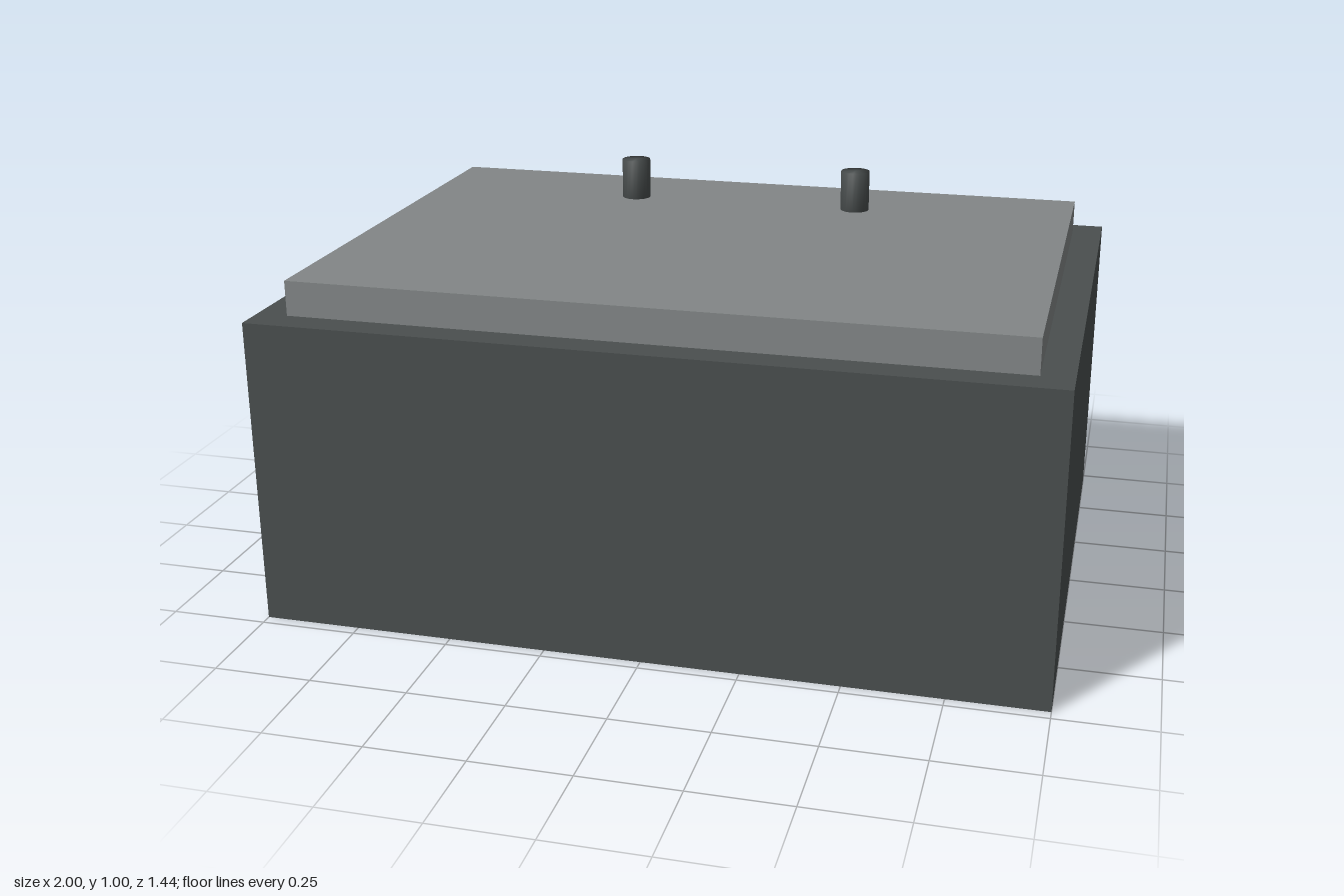
import * as THREE from 'three';
import { mergeVertices } from 'three/addons/utils/BufferGeometryUtils.js';

const material = (name, color) => {
  const m = new THREE.MeshStandardMaterial({ color });
  m.name = name;
  return m;
};

export function createModel() {
  const group = new THREE.Group();
  group.name = 'batteryBox';
  const dark = material('charcoal', 0x4a4f4f);
  const light = material('grey', 0x828687);

  const add = (name, geometry, mat, x, y, z) => {
    const mesh = new THREE.Mesh(geometry, mat);
    mesh.name = name;
    mesh.position.set(x, y, z);
    group.add(mesh);
  };

  // Case and the inset lid on top of it
  add('case', new THREE.BoxGeometry(2, 0.8, 1.44), dark, 0, 0.4, 0);
  add('lid', new THREE.BoxGeometry(1.84, 0.09, 1.28), light, 0, 0.845, 0);

  // Terminal posts near the back, with softly shaded rims
  let post = new THREE.CylinderGeometry(0.04, 0.04, 0.11, 24);
  post.deleteAttribute('normal');
  post.deleteAttribute('uv');
  post = mergeVertices(post);
  post.computeVertexNormals();
  for (const [name, side] of [['leftTerminal', 1], ['rightTerminal', -1]]) {
    add(name, post, dark, side * 0.32, 0.945, -0.4);
  }

  return group;
}
